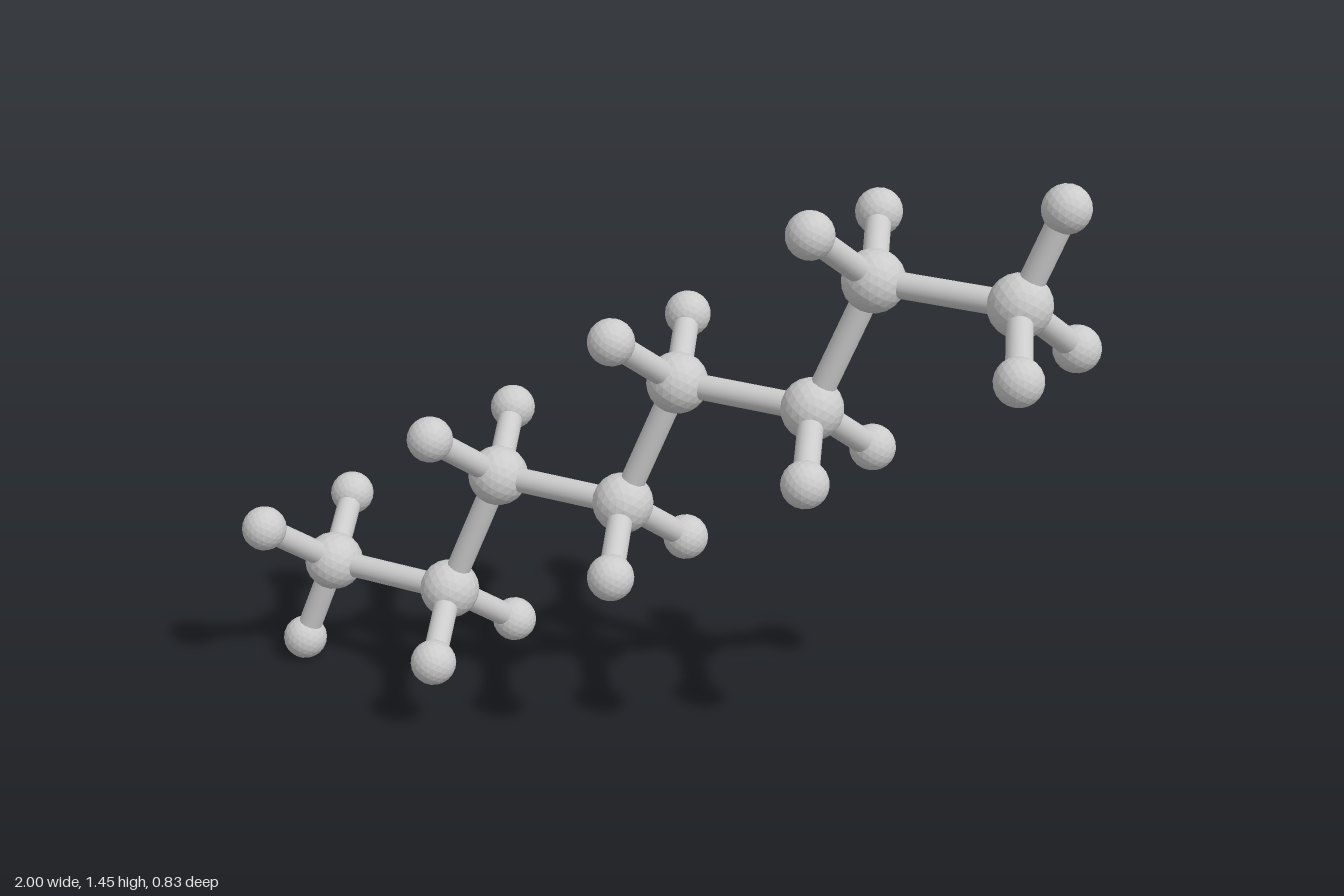
import * as THREE from 'three';

export function createModel() {
  const model = new THREE.Group();
  model.name = 'hydrocarbonChain';
  const ballMaterial = new THREE.MeshStandardMaterial({ color: 0xcccccc, flatShading: true });
  const rodMaterial = new THREE.MeshStandardMaterial({ color: 0xcccccc });
  const carbonGeometry = new THREE.IcosahedronGeometry(0.071, 3);
  const hydrogenGeometry = new THREE.IcosahedronGeometry(0.0535, 3);
  const up = new THREE.Vector3(0, 1, 0);
  const middle = new THREE.Vector3(0, 0.73, 0);

  function addBall(name, geometry, position) {
    const ball = new THREE.Mesh(geometry, ballMaterial);
    ball.name = name;
    ball.position.copy(position);
    model.add(ball);
  }

  // Rod running between two ball centres
  function addBond(name, a, b) {
    const along = b.clone().sub(a);
    const rod = new THREE.Mesh(
      new THREE.CylinderGeometry(0.029, 0.029, along.length(), 20, 1, true), rodMaterial);
    rod.name = name;
    rod.position.copy(a).add(b).multiplyScalar(0.5);
    rod.quaternion.setFromUnitVectors(up, along.normalize());
    model.add(rod);
  }

  function addHydrogen(carbon, offset, sign) {
    const position = carbon.clone().addScaledVector(offset, sign);
    addBall('hydrogen', hydrogenGeometry, position);
    addBond('hydrogenBond', carbon, position);
  }

  // Zigzag backbone: four repeats of a pair of carbons
  const step = new THREE.Vector3(0.4455, 0.3035, 0.0687);
  const halfPair = new THREE.Vector3(0.161, 0, 0.0432);
  const carbons = [];
  for (let i = 0; i < 4; i++) {
    const centre = middle.clone().addScaledVector(step, i - 1.5);
    carbons.push(centre.clone().sub(halfPair), centre.clone().add(halfPair));
  }

  // Two hydrogens per carbon, pointing the opposite way on every other one
  const upperOffset = new THREE.Vector3(-0.118, 0.145, 0.15);
  const backOffset = new THREE.Vector3(-0.021, 0.085, -0.217);
  carbons.forEach((carbon, i) => {
    const sign = i % 2 ? -1 : 1;
    addBall('carbon', carbonGeometry, carbon);
    addHydrogen(carbon, upperOffset, sign);
    addHydrogen(carbon, backOffset, sign);
    if (i > 0) addBond('carbonBond', carbons[i - 1], carbon);
  });

  // Third hydrogen closing each end
  const endOffset = new THREE.Vector3(-0.083, -0.2165, 0.01);
  addHydrogen(carbons[0], endOffset, 1);
  addHydrogen(carbons[7], endOffset, -1);

  return model;
}
